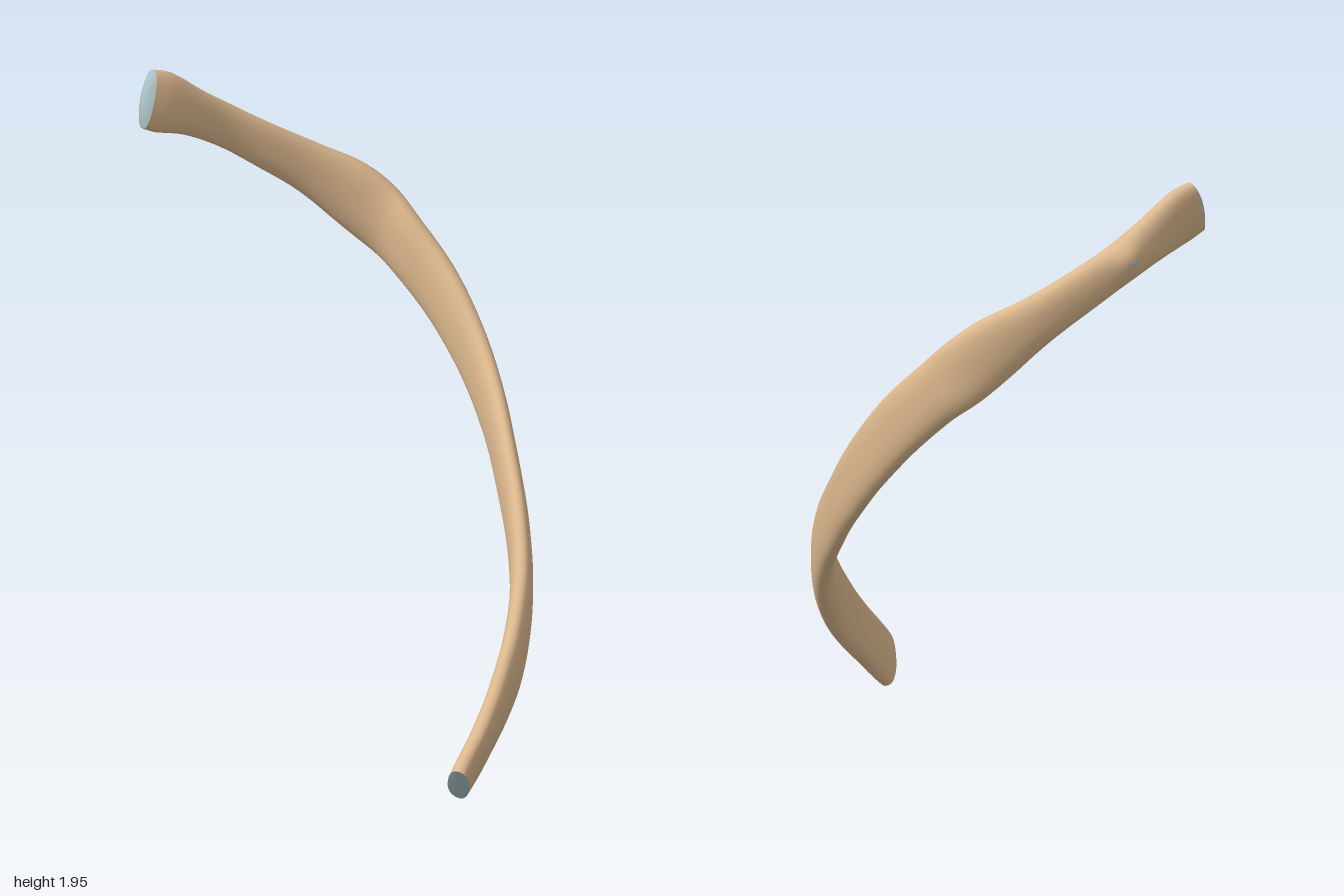
import * as THREE from 'three';

const SIDES = 28, RINGS = 140;

// Stations from head to front end: x, y, z, half height, half thickness, roll
const stations = [
  [-0.695, 1.9, -0.187, 0.092, 0.034, -0.2],
  [-0.66, 1.878, -0.235, 0.094, 0.038, -0.15],
  [-0.6, 1.825, -0.325, 0.074, 0.04, 0],
  [-0.52, 1.757, -0.42, 0.066, 0.042, 0],
  [-0.42, 1.68, -0.5, 0.07, 0.04, 0],
  [-0.31, 1.6, -0.577, 0.08, 0.042, 0],
  [-0.2, 1.52, -0.63, 0.1, 0.045, 0],
  [-0.1, 1.435, -0.65, 0.103, 0.045, 0],
  [0, 1.35, -0.628, 0.097, 0.044, 0],
  [0.12, 1.237, -0.58, 0.097, 0.041, 0],
  [0.25, 1.092, -0.49, 0.097, 0.037, 0],
  [0.36, 0.957, -0.37, 0.1, 0.035, 0],
  [0.47, 0.815, -0.2, 0.101, 0.034, 0],
  [0.57, 0.672, -0.02, 0.101, 0.035, 0],
  [0.635, 0.54, 0.14, 0.101, 0.036, -0.03],
  [0.665, 0.407, 0.3, 0.102, 0.037, -0.1],
  [0.662, 0.295, 0.43, 0.102, 0.037, -0.25],
  [0.643, 0.195, 0.55, 0.101, 0.037, -0.42],
  [0.615, 0.105, 0.648, 0.1, 0.036, -0.52],
];
const path = new THREE.CatmullRomCurve3(
  stations.map((s) => new THREE.Vector3(s[0], s[1], s[2])), false, 'centripetal');
const sizes = new THREE.CatmullRomCurve3(
  stations.map((s) => new THREE.Vector3(s[3], s[4], s[5])), false, 'catmullrom', 0.5);

// Small knob on the outer face near the head
const knob = new THREE.Vector3(-0.565, 1.78, -0.425);
const knobOut = new THREE.Vector3(-0.6, 0.1, -0.79).normalize();

const soft = (v) => Math.sign(v) * Math.abs(v) ** 0.85;

// One rounded-flat cross-section at u along the path
function ring(u) {
  const c = path.getPoint(u), t = path.getTangent(u), s = sizes.getPoint(u);
  const up = new THREE.Vector3(0, 1, 0).addScaledVector(t, -t.y).normalize();
  const side = new THREE.Vector3().crossVectors(t, up);
  up.applyAxisAngle(t, s.z);
  side.applyAxisAngle(t, s.z);
  const pts = [];
  for (let j = 0; j < SIDES; j++) {
    const a = (j / SIDES) * Math.PI * 2;
    const off = new THREE.Vector3()
      .addScaledVector(up, soft(Math.cos(a)) * s.x)
      .addScaledVector(side, soft(Math.sin(a)) * s.y);
    const p = c.clone().add(off);
    if (off.dot(knobOut) > 0) {
      const d = p.distanceTo(knob) / 0.055;
      p.addScaledVector(knobOut, 0.024 * Math.exp(-d * d) * Math.min(1, off.dot(knobOut) / 0.02));
    }
    pts.push(p);
  }
  return { c, t, pts };
}

function geometryFrom(points, index) {
  const g = new THREE.BufferGeometry().setFromPoints(points);
  g.setIndex(index);
  g.computeVertexNormals();
  return g;
}

// Skin joining all cross-sections
function shaftGeometry() {
  const points = [], index = [];
  for (let i = 0; i <= RINGS; i++) {
    points.push(...ring(i / RINGS).pts);
    if (i === RINGS) break;
    for (let j = 0; j < SIDES; j++) {
      const k = (j + 1) % SIDES;
      const a = i * SIDES + j, b = i * SIDES + k;
      index.push(a, b, a + SIDES, b, b + SIDES, a + SIDES);
    }
  }
  return geometryFrom(points, index);
}

// Slightly domed end surface, dir = -1 at the head, 1 at the front end
function capGeometry(u, dir, bulge) {
  const { c, t, pts } = ring(u);
  const points = [], index = [], steps = 5;
  for (let i = 0; i < steps; i++) {
    const r = 1 - i / steps;
    for (const p of pts) {
      points.push(c.clone().lerp(p, r).addScaledVector(t, dir * bulge * (1 - r * r)));
    }
  }
  const tip = points.push(c.clone().addScaledVector(t, dir * bulge)) - 1;
  const tri = (a, b, d) => (dir > 0 ? index.push(a, b, d) : index.push(a, d, b));
  for (let i = 0; i < steps; i++) {
    for (let j = 0; j < SIDES; j++) {
      const k = (j + 1) % SIDES;
      const a = i * SIDES + j, b = i * SIDES + k;
      if (i === steps - 1) tri(a, b, tip);
      else {
        tri(a, b, a + SIDES);
        tri(b, b + SIDES, a + SIDES);
      }
    }
  }
  return geometryFrom(points, index);
}

export function createModel() {
  const group = new THREE.Group();
  group.name = 'rib';
  const bone = new THREE.MeshStandardMaterial({ color: 0xdcb88e });
  const cartilage = new THREE.MeshStandardMaterial({ color: 0xa9bfc2 });
  const add = (name, geometry, material) => {
    const mesh = new THREE.Mesh(geometry, material);
    mesh.name = name;
    group.add(mesh);
    return mesh;
  };

  add('shaft', shaftGeometry(), bone);
  add('headFacet', capGeometry(0, -1, 0.022), cartilage);
  add('frontEndFacet', capGeometry(1, 1, 0.004), cartilage);

  // Small joint surface on the knob
  const facet = add('knobFacet', new THREE.SphereGeometry(0.02, 16, 10), cartilage);
  facet.scale.set(1, 1, 0.4);
  facet.position.copy(knob).addScaledVector(knobOut, 0.02);
  facet.quaternion.setFromUnitVectors(new THREE.Vector3(0, 0, 1), knobOut);
  return group;
}
